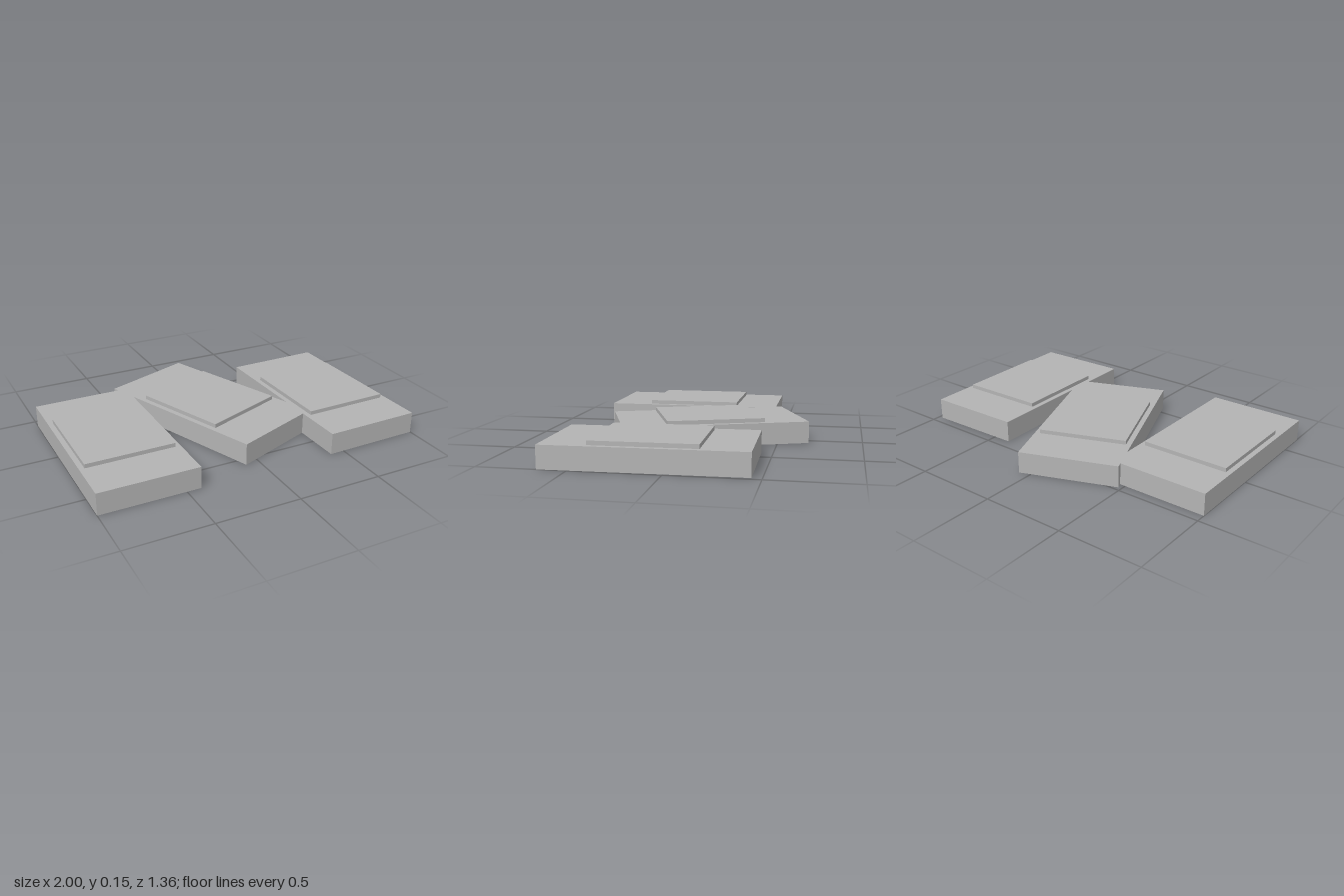
import * as THREE from 'three';

// Three slabs laid side by side, each with a thin raised panel on top.
const SLAB = { w: 0.585, h: 0.13, d: 1.11 };
const PANEL = { w: 0.524, h: 0.024, d: 0.585 };

export function createModel() {
  const group = new THREE.Group();
  const grey = new THREE.MeshStandardMaterial({ color: 0xb4b4b4 });
  grey.name = 'grey';

  const box = (name, { w, h, d }, y) => {
    const mesh = new THREE.Mesh(new THREE.BoxGeometry(w, h, d), grey);
    mesh.name = name;
    mesh.position.y = y + h / 2;
    return mesh;
  };

  // name, centre x, centre z, turn in degrees
  const tiles = [
    ['rightTile', -0.7075, 0.115, 0],
    ['middleTile', -0.0075, -0.06, 20.9],
    ['leftTile', 0.694, 0.115, 1.2],
  ];
  for (const [name, x, z, turn] of tiles) {
    const tile = new THREE.Group();
    tile.name = name;
    tile.add(box('slab', SLAB, 0), box('raisedPanel', PANEL, SLAB.h));
    tile.position.set(x, 0, z);
    tile.rotation.y = THREE.MathUtils.degToRad(turn);
    group.add(tile);
  }
  return group;
}
